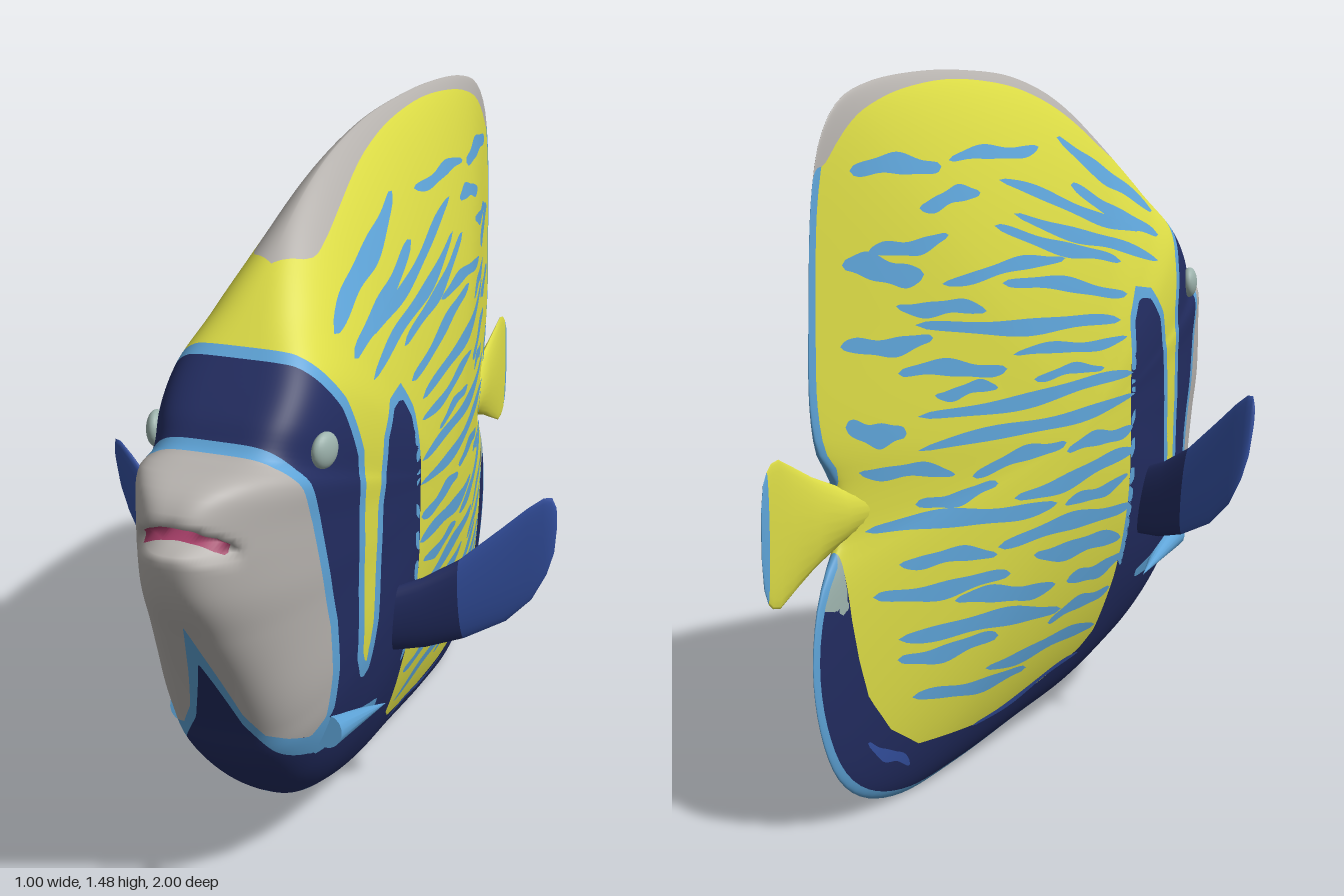
import * as THREE from 'three';

const mat = (name, color) => Object.assign(new THREE.MeshStandardMaterial({ color }), { name });
const M = {
  yellow: mat('yellow', 0xdcdc46), navy: mat('navy', 0x222c60), sky: mat('sky blue', 0x5ea4d8),
  grey: mat('warm grey', 0xb4b0ac), blue: mat('fin blue', 0x3552a4),
  pink: mat('mouth pink', 0xa03c64), eye: mat('eye grey green', 0x9cb2ac),
};

// Smooth curve through [key, value] pairs
const curve = (t) => (k) => {
  const n = t.length - 1;
  if (k <= t[0][0]) return t[0][1];
  if (k >= t[n][0]) return t[n][1];
  let i = 0;
  while (k > t[i + 1][0]) i++;
  const slope = (j) => {
    const a = t[Math.max(0, j - 1)], b = t[Math.min(n, j + 1)];
    return (b[1] - a[1]) / (b[0] - a[0]);
  };
  const h = t[i + 1][0] - t[i][0], s = (k - t[i][0]) / h, s2 = s * s, s3 = s2 * s;
  return (2 * s3 - 3 * s2 + 1) * t[i][1] + (s3 - 2 * s2 + s) * h * slope(i)
    + (3 * s2 - 2 * s3) * t[i + 1][1] + (s3 - s2) * h * slope(i + 1);
};

// Side outline of the body as [z, y], without tail
const CY = 0.7;
const outline = [
  [1, .845], [1, .885], [.99, .93], [.96, .965], [.9, .985], [.81, .99], [.76, 1.05], [.67, 1.14], [.52, 1.28],
  [.41, 1.355], [.25, 1.425], [.04, 1.47], [-.18, 1.482], [-.39, 1.478], [-.6, 1.455], [-.71, 1.42], [-.775, 1.355],
  [-.81, 1.25], [-.825, 1.035], [-.825, .85], [-.8, .76], [-.745, .7], [-.73, .635], [-.735, .57], [-.775, .52],
  [-.81, .45], [-.825, .34], [-.8, .22], [-.74, .115], [-.65, .05], [-.5, .01], [-.28, .012], [0, .035], [.25, .06],
  [.41, .1], [.545, .155], [.67, .245], [.76, .35], [.79, .42], [.85, .54], [.92, .66], [.98, .765],
];
const polar = new THREE.CatmullRomCurve3(outline.map(([z, y]) => new THREE.Vector3(z, y - CY, 0)), true)
  .getPoints(500).slice(0, -1).map((p) => [Math.atan2(p.y, p.x), Math.hypot(p.x, p.y)]).sort((a, b) => a[0] - b[0]);
const radius = (a) => {
  const n = polar.length;
  let lo = 0, hi = n;
  while (lo < hi) { const m = (lo + hi) >> 1; if (polar[m][0] < a) lo = m + 1; else hi = m; }
  const p = polar[(lo + n - 1) % n], q = polar[lo % n], TAU = Math.PI * 2;
  const span = (q[0] - p[0] + TAU) % TAU || 1;
  return p[1] + (q[1] - p[1]) * (((a - p[0] + TAU) % TAU) / span);
};

// Half thickness of the body: width along z, rounded off towards the outline
const width = curve([[-.83, .018], [-.6, .085], [-.4, .13], [-.2, .165], [0, .192], [.2, .21], [.45, .222], [.8, .222], [1, .18]]);
const roundness = curve([[-180, .35], [-135, .55], [-90, .62], [-60, .55], [-35, .35], [-18, .25], [0, .33], [12, .36],
  [20, .22], [32, .2], [42, .35], [60, .62], [90, .72], [135, .6], [180, .35]]);
const rhoAt = (z, y) => Math.hypot(z, y - CY) / radius(Math.atan2(y - CY, z));
const thick = (z, y, rho = rhoAt(z, y)) =>
  width(z) * Math.max(0, 1 - rho * rho) ** roundness(Math.atan2(y - CY, z) * 180 / Math.PI);
const mouthLine = (x, y) => y - (.89 - 4 * x * x);

function bodyTriangles() {
  const N = 48, S = 260, pos = [], idx = [];
  for (let i = 0; i <= 2 * N; i++) for (let j = 0; j < S; j++) {
    const u = 1 - Math.abs(i - N) / N, side = i <= N ? 1 : -1;
    const t = (j / S) * Math.PI * 2, a = t - .5 * Math.sin(t), ang = Math.atan2(Math.sin(a), Math.cos(a));
    const rho = 1 - (1 - u) ** 2.3, r = rho * radius(ang);
    const y = CY + r * Math.sin(ang), x = side * thick(r * Math.cos(ang), y, rho);
    let z = r * Math.cos(ang);
    // mouth slit pressed into the snout
    if (z > .8) z -= .09 * Math.exp(-((mouthLine(x, y) / .016) ** 2)) * Math.max(0, 1 - (x / .11) ** 2);
    pos.push(x, y, z);
    if (i < 2 * N) {
      const k = (j + 1) % S, A = i * S + j, B = i * S + k;
      idx.push(A, B, A + S, B, B + S, A + S);
    }
  }
  const g = new THREE.BufferGeometry();
  g.setAttribute('position', new THREE.Float32BufferAttribute(pos, 3));
  g.setIndex(idx);
  g.computeVertexNormals();
  const nor = g.attributes.normal.array, v = (k) => [...pos.slice(3 * k, 3 * k + 3), ...nor.slice(3 * k, 3 * k + 3)];
  const tris = [];
  for (let k = 0; k < idx.length; k += 3) tris.push([v(idx[k]), v(idx[k + 1]), v(idx[k + 2])]);
  return tris;
}

// Signed distance to a polygon, negative inside
function dist(poly, a, b) {
  let d = 1e9, inside = false;
  for (let i = 0, j = poly.length - 1; i < poly.length; j = i++) {
    const [px, py] = poly[i], [qx, qy] = poly[j], ex = qx - px, ey = qy - py;
    const t = Math.min(1, Math.max(0, ((a - px) * ex + (b - py) * ey) / (ex * ex + ey * ey)));
    d = Math.min(d, Math.hypot(a - px - t * ex, b - py - t * ey));
    if ((py > b) !== (qy > b) && a < px + (ex * (b - py)) / ey) inside = !inside;
  }
  return inside ? -d : d;
}

// Cut triangles along f = 0
function split(tris, f) {
  const inn = [], out = [];
  for (const t of tris) {
    const d = t.map((p) => f(p[0], p[1], p[2]));
    if (d.every((e) => e <= 0)) { inn.push(t); continue; }
    if (d.every((e) => e > 0)) { out.push(t); continue; }
    const polys = [[], []];
    t.forEach((p, i) => {
      const k = (i + 1) % 3, w = d[i] / (d[i] - d[k]);
      polys[d[i] <= 0 ? 0 : 1].push(p);
      if ((d[i] <= 0) !== (d[k] <= 0)) {
        const c = p.map((e, m) => e + (t[k][m] - e) * w);
        polys[0].push(c); polys[1].push(c);
      }
    });
    polys.forEach((p, s) => { for (let i = 2; i < p.length; i++) (s ? out : inn).push([p[0], p[i - 1], p[i]]); });
  }
  return [inn, out];
}

// Colour areas, in [z, y] from the side or [x, y] from the front
const face = [[1.2, 1.1], [.81, 1], [.76, .93], [.73, .85], [.7, .74], [.66, .61], [.645, .5], [.645, .405], [.68, .375], [.74, .395], [.79, .42], [1.2, .42]];
const cheek = [[.8, .43], [.7, .38], [.645, .41], [.62, .39], [.58, .37], [.42, .335], [.37, .325], [.38, .305], [.5, .31], [.62, .32], [.72, .345], [.8, .38]];
const flank = [[.72, 1.2], [.645, 1.15], [.575, 1.05], [.53, .93], [.53, .69], [.525, .5], [.505, .46], [.485, .55], [.47, .79], [.44, .93],
  [.385, .99], [.305, 1], [.25, .93], [.235, .79], [.24, .55], [.24, .34], [.22, .21], [.17, .175], [0, .135], [-.28, .11], [-.5, .125],
  [-.6, .18], [-.67, .26], [-.7, .34], [-.72, .42], [-.74, .55], [-1, .6], [-1, 1.6], [.72, 1.6]];
const chin = [[-.1, .6], [0, .6], [.05, .44], [.1, .36], [.13, .32], [.13, -.1], [-.1, -.1]];
const chinEdge = [[-.1, .7], [0, .7], [.03, .57], [.055, .47], [.1, .39], [.15, .36], [.19, .36], [.19, .31], [-.1, .31]];
const finSpot = [[-.725, .43], [-.74, .56], [-.79, .54], [-.81, .46], [-.76, .45]];
const crest = curve([[-.85, -.01], [-.76, .008], [-.6, .018], [-.2, .02], [.1, .035], [.42, .065], [.48, .05], [.53, -.02]]);
const keel = curve([[-.9, 0], [-.6, .012], [0, .022], [.35, .045], [.5, .035], [.62, -.01]]);
const rim = (y, z) => (1 - rhoAt(z, y)) * radius(Math.atan2(y - CY, z));
const regions = [
  ['mouth', M.pink, (x, y, z) => Math.max(Math.abs(mouthLine(x, y)) - .013, Math.abs(x) - .085, .8 - z)],
  ['crest', M.grey, (x, y, z) => Math.max(Math.abs(x) - crest(z), 1.1 - y)],
  ['keel', M.sky, (x, y, z) => Math.max(Math.abs(x) - keel(z), y - .4)],
  ['chin', M.navy, (x, y, z) => Math.max(dist(chin, Math.abs(x), y), .55 - z)],
  ['chinEdge', M.sky, (x, y, z) => Math.max(dist(chinEdge, Math.abs(x), y), .6 - z)],
  ['face', M.grey, (x, y, z) => dist(face, z, y)],
  ['cheekBand', M.sky, (x, y, z) => dist(cheek, z, y)],
  ['faceEdge', M.sky, (x, y, z) => Math.max(dist(face, z, y) - .025, .4 - y)],
  ['finRim', M.sky, (x, y, z) => Math.max(rim(y, z) - .018, Math.min(z + .74, Math.max(y - .3, z - .5)), y - 1.35)],
  ['finSpot', M.eye, (x, y, z) => dist(finSpot, z, y)],
  ['flank', M.yellow, (x, y, z) => dist(flank, z, y)],
  ['flankEdge', M.sky, (x, y, z) => Math.max(dist(flank, z, y) - .025, .24 - z, .36 - y)],
  ['headAndBelly', M.navy, () => -1],
];

// Flank stripes: z, y of both ends and width
const upperStripes = [[.09, 1.335, .53, 1.16, .05], [.08, 1.23, .5, 1.1, .042], [-.23, 1.255, .4, 1.115, .03], [-.02, 1.32, -.4, 1.305, .027],
  [-.43, 1.295, -.71, 1.295, .038], [-.31, 1.24, -.52, 1.215, .032], [-.2, 1.185, .45, 1.05, .032], [-.28, 1.16, .25, 1.055, .03],
  [-.44, 1.15, -.67, 1.13, .03], [-.52, 1.08, -.74, 1.115, .05], [.25, .99, -.28, 1.055, .03], [-.02, 1.09, -.47, 1.065, .027],
  [-.34, 1, -.6, 1.025, .03], [.2, .93, -.55, .98, .032], [-.5, .95, -.75, .955, .035], [.22, .89, -.26, .9, .024],
  [-.28, .875, -.6, .9, .032], [.1, .842, -.19, .847, .022], [-.31, .842, -.5, .842, .026]];
const lowerStripes = [[.24, .81, -.55, .8, .03], [-.58, .77, -.74, .8, .045], [.25, .757, -.55, .735, .03], [.24, .687, -.07, .677, .032],
  [-.07, .698, -.39, .67, .03], [-.44, .68, -.7, .715, .028], [.25, .634, -.26, .596, .036], [-.31, .634, -.55, .623, .028],
  [.22, .575, -.07, .553, .028], [-.1, .564, -.68, .596, .036], [.25, .51, -.31, .51, .036], [-.31, .495, -.6, .52, .03],
  [.22, .436, -.18, .463, .04], [-.26, .436, -.67, .457, .034], [.25, .382, -.02, .372, .036], [-.07, .377, -.44, .415, .036],
  [.22, .318, -.07, .297, .03], [-.02, .32, -.6, .37, .038], [.2, .233, -.31, .243, .032], [-.28, .307, -.6, .318, .034], [-.12, .195, -.55, .23, .03]];

function grid(rows, flip) {
  const n = rows[0].length, idx = [];
  for (let i = 0; i + 1 < rows.length; i++) for (let j = 0; j + 1 < n; j++) {
    const a = i * n + j, b = a + n;
    idx.push(...(flip ? [a, a + 1, b, b, a + 1, b + 1] : [a, b, a + 1, b, b + 1, a + 1]));
  }
  const g = new THREE.BufferGeometry();
  g.setAttribute('position', new THREE.Float32BufferAttribute(rows.flat(2), 3));
  g.setIndex(idx);
  g.computeVertexNormals();
  return g;
}

// Spindle-shaped ribbon laid on the flank
function ribbon([z0, y0, z1, y1, w], side, k) {
  if (z0 < z1) [z0, y0, z1, y1] = [z1, y1, z0, y0];
  const rows = [], n = 24;
  for (let i = 0; i <= n; i++) {
    const t = i / n, z = z0 + (z1 - z0) * t, y = y0 + (y1 - y0) * t + .006 * Math.sin(t * 7 + k);
    const h = .5 * w * Math.sin(Math.PI * t) ** .4 * (1 + .15 * Math.sin(t * 13 + 2 * k));
    rows.push([-1, 0, 1].map((s) => [side * (thick(z, y + s * h) + .004), y + s * h, z]));
  }
  return grid(rows, side < 0);
}

// Fin from [u, low, high, half thickness] sections
const loft = (sections, place) => grid(sections.map(([u, lo, hi, h]) => Array.from({ length: 25 }, (_, j) => {
  const a = (j / 24) * Math.PI * 2;
  return place(u, (lo + hi) / 2 + Math.cos(a) * (hi - lo) / 2, Math.sin(a) * h);
})));

export function createModel() {
  const fish = new THREE.Group();
  fish.name = 'fish';
  const add = (name, geo, m) => {
    const mesh = new THREE.Mesh(geo, m);
    mesh.name = name;
    fish.add(mesh);
    return mesh;
  };

  // Body, divided into colour areas
  let rest = bodyTriangles();
  for (const [name, m, f] of regions) {
    const [inn, out] = split(rest, f);
    rest = out;
    const g = new THREE.BufferGeometry(), v = inn.flat();
    g.setAttribute('position', new THREE.Float32BufferAttribute(v.flatMap((p) => p.slice(0, 3)), 3));
    g.setAttribute('normal', new THREE.Float32BufferAttribute(v.flatMap((p) => p.slice(3)), 3));
    add(name, g, m);
  }

  // Tail
  const tailPlace = (u, v, w) => [-w, v, u];
  add('tail', loft([[-.62, .6, .67, .04], [-.73, .575, .69, .028], [-.82, .545, .72, .018], [-.9, .51, .755, .012],
    [-.94, .493, .772, .008], [-.965, .498, .768, .006], [-.98, .51, .755, .005]], tailPlace), M.yellow);
  add('tailEdge', loft([[-.98, .51, .755, .005], [-.992, .535, .735, .004], [-1, .59, .69, .001], [-1, .64, .64, 0]], tailPlace), M.sky);

  for (const s of [1, -1]) {
    const side = s > 0 ? 'left' : 'right';
    [...upperStripes, ...lowerStripes].forEach((st, k) => add(side + 'Stripe', ribbon(st, s, k), M.sky));
    add(side + 'FinStreak', ribbon([-.52, .085, -.67, .165, .025], s, 0), M.blue);
    add(side + 'FinLine', ribbon([.17, .168, -.3, .108, .016], s, 0), M.blue);

    // Pectoral fin
    const place = (u, v, w) => [s * u, v, .37 - .52 * (u - .2) + .2 * (v - .62) - s * w * s];
    add(side + 'PectoralBase', loft([[.15, .42, .56, .035], [.25, .425, .595, .03], [.32, .442, .635, .026]],
      (u, v, w) => place(u, v, s * w * s)), M.navy);
    add(side + 'PectoralFin', loft([[.32, .442, .635, .026], [.4, .48, .705, .02], [.45, .53, .75, .017], [.48, .59, .772, .014],
      [.495, .64, .772, .01], [.502, .7, .75, .004], [.502, .725, .725, 0]], place), M.blue);

    // Eye and cheek spine
    const eye = add(side + 'Eye', new THREE.SphereGeometry(.036, 24, 16), M.eye);
    eye.scale.x = .5;
    eye.position.set(s * (thick(.68, .98) + .006), .98, .68);
    eye.rotation.y = -s * .25;
    const from = new THREE.Vector3(s * .155, .365, .63), to = new THREE.Vector3(s * .185, .315, .375);
    const dir = to.clone().sub(from);
    const spine = add(side + 'CheekSpine', new THREE.ConeGeometry(.034, dir.length(), 16), M.sky);
    spine.position.copy(from).addScaledVector(dir, .5);
    spine.quaternion.setFromUnitVectors(new THREE.Vector3(0, 1, 0), dir.normalize());
  }
  // Mirrored fins keep their outer faces turned outwards
  fish.children.filter((m) => /^rightPectoral/.test(m.name)).forEach((m) => {
    const i = m.geometry.index.array;
    for (let k = 0; k < i.length; k += 3) [i[k], i[k + 1]] = [i[k + 1], i[k]];
    m.geometry.computeVertexNormals();
  });
  return fish;
}
